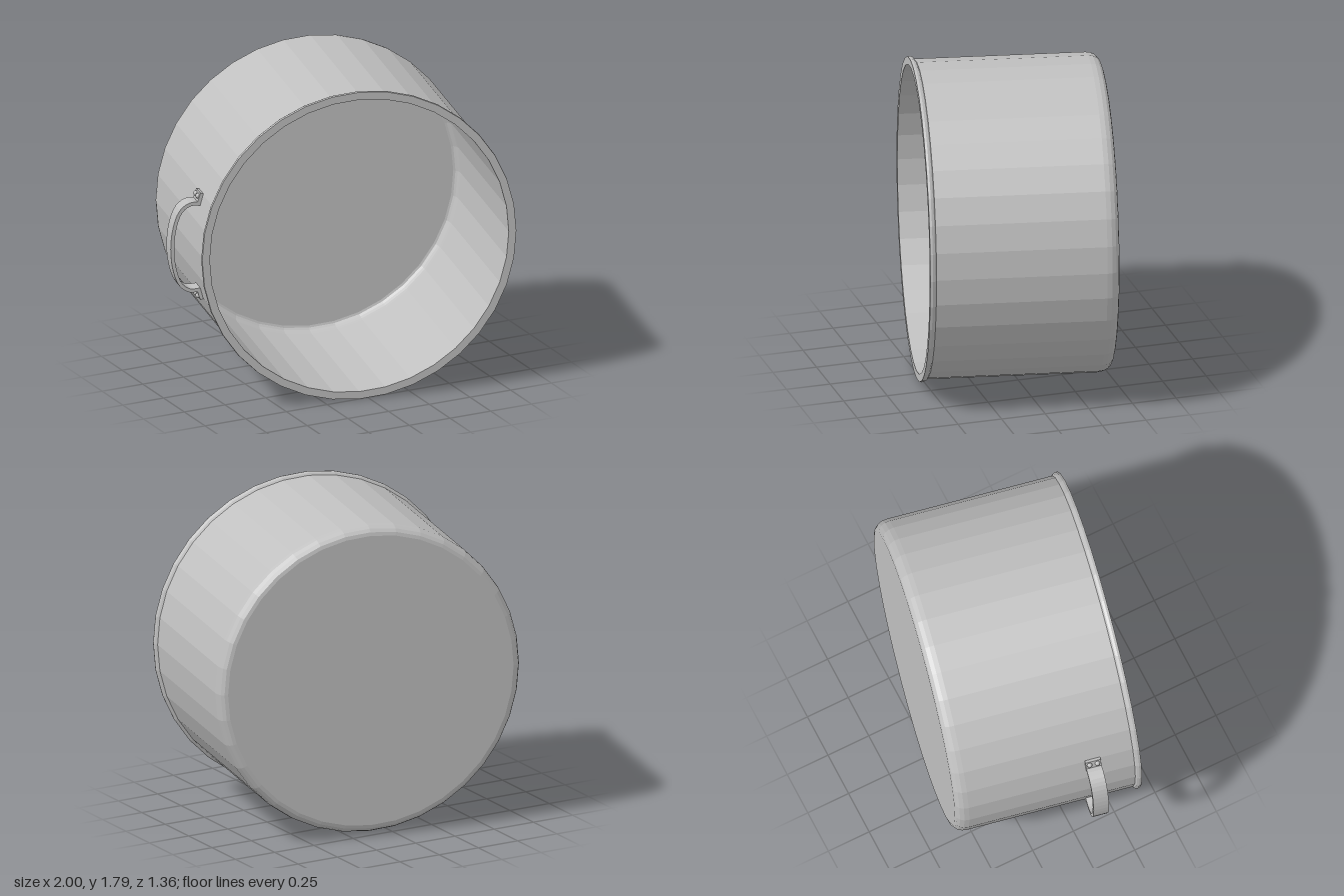
import * as THREE from 'three';

const steel = new THREE.MeshStandardMaterial({ color: 0xc0c0c0 });
steel.name = 'steel grey';

// Facet a geometry so every face has its own normal
function faceted(geometry) {
  const g = geometry.index ? geometry.toNonIndexed() : geometry;
  g.computeVertexNormals();
  return g;
}

function add(parent, name, geometry) {
  const mesh = new THREE.Mesh(geometry, steel);
  mesh.name = name;
  parent.add(mesh);
  return mesh;
}

// Quarter-round profile from the base edge up to the wall
function fillet(points, r, y, dr, dy, inward) {
  for (let i = 0; i <= 4; i++) {
    const a = ((inward ? 4 - i : i) / 4) * Math.PI / 2;
    points.push(new THREE.Vector2(r - dr + dr * Math.sin(a), y + dy - dy * Math.cos(a)));
  }
}

export function createModel() {
  const model = new THREE.Group();
  model.name = 'pot';

  // Local frame: the opening faces +z with the rim plane at z = 0
  const pot = new THREE.Group();
  pot.name = 'tippedPot';
  pot.position.set(-0.055, 0.895, 0.505);
  pot.rotation.y = -0.197;
  model.add(pot);

  // Body: outside, rolled lip and inside in one profile
  const p = [new THREE.Vector2(0, -1.047)];
  fillet(p, 0.879, -1.047, 0.05, 0.07, false);
  for (const [r, y] of [[0.879, -0.035], [0.89, -0.027], [0.895, -0.014], [0.893, 0], [0.85, 0]]) {
    p.push(new THREE.Vector2(r, y));
  }
  fillet(p, 0.85, -1.015, 0.03, 0.05, true);
  p.push(new THREE.Vector2(0, -1.015));
  const body = new THREE.LatheGeometry(p, 36);
  body.rotateX(Math.PI / 2);
  add(pot, 'body', faceted(body));

  // Side handle: a bent flat strap
  const handle = new THREE.Group();
  handle.name = 'handle';
  handle.position.z = -0.264;
  pot.add(handle);
  const width = 0.087;
  const arc = new THREE.CatmullRomCurve3([
    [0.84, 0.25], [0.9, 0.25], [0.95, 0.215], [0.985, 0.13], [1.0, 0],
    [0.985, -0.13], [0.95, -0.215], [0.9, -0.25], [0.84, -0.25],
  ].map(([x, y]) => new THREE.Vector3(-x, y, 0)));
  const outer = [], inner = [];
  for (let i = 0; i <= 24; i++) {
    const c = arc.getPoint(i / 24), t = arc.getTangent(i / 24);
    outer.push(new THREE.Vector2(c.x + t.y * 0.01, c.y - t.x * 0.01));
    inner.unshift(new THREE.Vector2(c.x - t.y * 0.01, c.y + t.x * 0.01));
  }
  const strap = new THREE.ExtrudeGeometry(new THREE.Shape([...outer, ...inner]), { depth: width, bevelEnabled: false });
  strap.translate(0, 0, -width / 2);
  add(handle, 'strap', faceted(strap));

  // Mounting tabs lying on the wall, each with two rivets
  for (const side of [1, -1]) {
    const tab = new THREE.Group();
    tab.name = side > 0 ? 'upperTab' : 'lowerTab';
    tab.position.set(-0.842, side * 0.275, 0);
    tab.rotation.z = -side * 0.316;
    handle.add(tab);
    add(tab, 'tabPlate', new THREE.BoxGeometry(0.02, 0.07, width));
    for (const z of [-0.022, 0.022]) {
      const rivet = add(tab, 'rivet', new THREE.SphereGeometry(0.015, 10, 6));
      rivet.position.set(-0.011, side * 0.012, z);
    }
  }
  return model;
}
